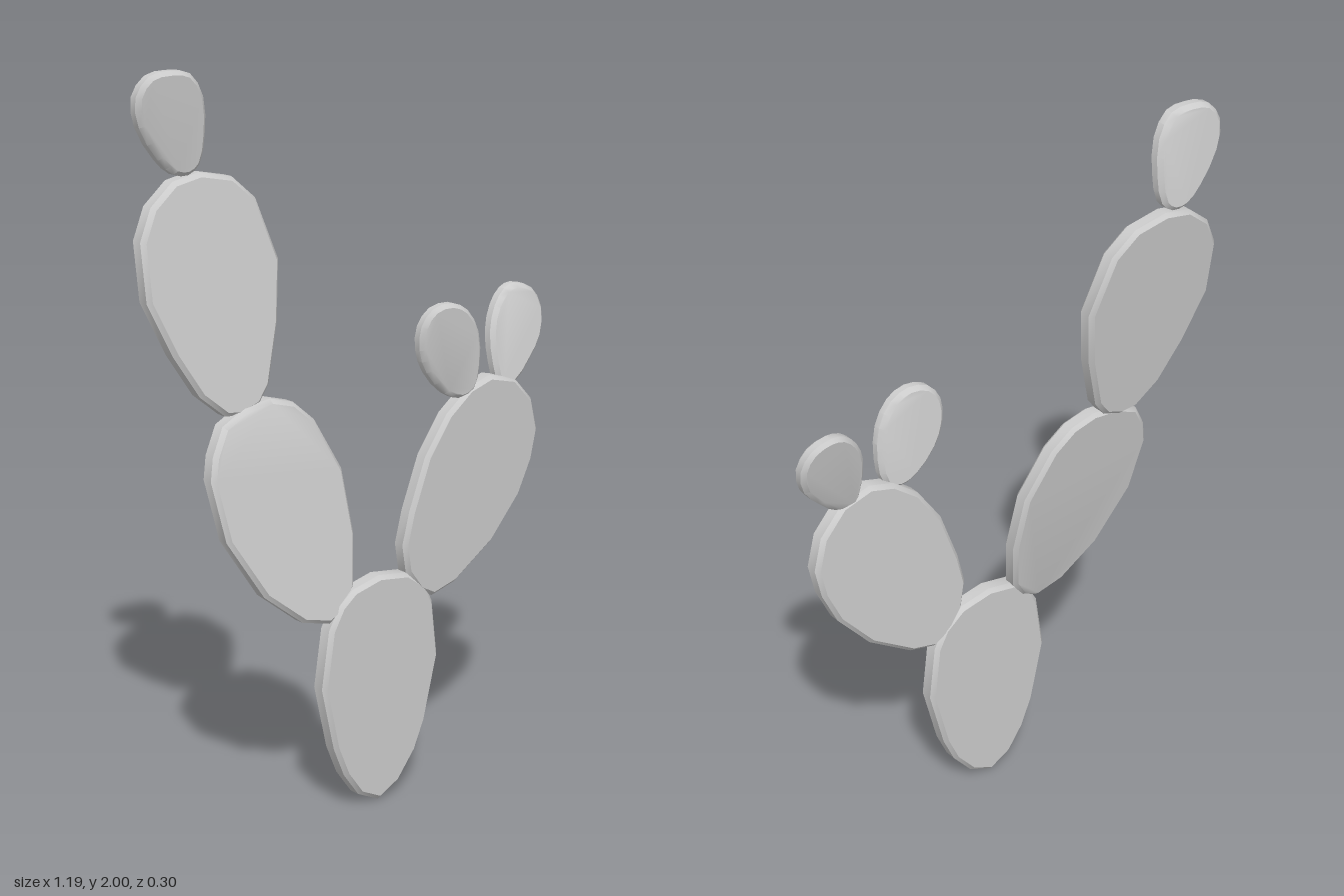
import * as THREE from 'three';
import { toCreasedNormals } from 'three/addons/utils/BufferGeometryUtils.js';

const material = new THREE.MeshStandardMaterial({ color: 0xcccccc });

// A flat pad: bevelled slab of the outline, laid on the plane
// z = z0 + leanX * (x - cx) + leanY * (y - cy). Small pads get a rounder outline.
function pad(name, outline, [cx, cy, z0], leanX, leanY, thickness, round = false) {
  let points = outline.map(([x, y]) => new THREE.Vector2(x, y));
  if (round) {
    const curve = new THREE.CatmullRomCurve3(points.map(p => new THREE.Vector3(p.x, p.y, 0)), true);
    points = curve.getPoints(outline.length * 2).slice(0, -1).map(p => new THREE.Vector2(p.x, p.y));
  }
  const bevel = 0.011;
  const geometry = new THREE.ExtrudeGeometry(new THREE.Shape(points), {
    depth: thickness - 2 * bevel, steps: 1,
    bevelEnabled: true, bevelThickness: bevel, bevelSize: bevel, bevelOffset: -bevel, bevelSegments: 1,
  });
  geometry.translate(0, 0, bevel - thickness / 2);
  const p = geometry.attributes.position;
  for (let i = 0; i < p.count; i++) {
    p.setZ(i, p.getZ(i) + z0 + leanX * (p.getX(i) - cx) + leanY * (p.getY(i) - cy));
  }
  const mesh = new THREE.Mesh(toCreasedNormals(geometry, 0.7), material);
  mesh.name = name;
  return mesh;
}

export function createModel() {
  const group = new THREE.Group();
  group.name = 'cactus';

  // Upright pad at the ground
  group.add(pad('basePad', [
    [0, 0.645], [-0.09, 0.625], [-0.135, 0.59], [-0.17, 0.53], [-0.195, 0.37], [-0.155, 0.19],
    [-0.12, 0.105], [-0.07, 0.035], [0, 0], [0.07, 0.035], [0.13, 0.11], [0.165, 0.19],
    [0.21, 0.37], [0.19, 0.53], [0.16, 0.585], [0.1, 0.63],
  ], [0, 0, 0.084], 0, 0, 0.054));

  // Tall arm on the right, leaning back
  group.add(pad('rightLowerPad', [
    [-0.27, 1.155], [-0.35, 1.145], [-0.425, 1.11], [-0.465, 1.04], [-0.48, 0.98], [-0.455, 0.82],
    [-0.36, 0.66], [-0.25, 0.57], [-0.165, 0.548], [-0.11, 0.575], [-0.075, 0.63], [-0.055, 0.77],
    [-0.07, 0.94], [-0.14, 1.08], [-0.2, 1.135],
  ], [-0.17, 0.55, 0.08], 0.03, -0.172, 0.052));

  group.add(pad('rightUpperPad', [
    [-0.41, 1.74], [-0.49, 1.725], [-0.56, 1.67], [-0.6, 1.59], [-0.6, 1.44], [-0.54, 1.3],
    [-0.475, 1.19], [-0.405, 1.13], [-0.355, 1.125], [-0.3, 1.145], [-0.265, 1.19], [-0.22, 1.345],
    [-0.198, 1.5], [-0.25, 1.66], [-0.315, 1.72],
  ], [-0.36, 1.125, -0.035], 0.05, -0.14, 0.052));

  group.add(pad('rightTipPad', [
    [-0.505, 2], [-0.56, 1.99], [-0.593, 1.94], [-0.58, 1.865], [-0.525, 1.78], [-0.48, 1.74],
    [-0.44, 1.735], [-0.41, 1.76], [-0.4, 1.835], [-0.41, 1.93], [-0.45, 1.99],
  ], [-0.45, 1.735, -0.124], 0.15, 0.12, 0.042, true));

  // Short arm on the left with two buds
  group.add(pad('leftPad', [
    [0.37, 1.133], [0.295, 1.11], [0.22, 1.05], [0.15, 0.945], [0.1, 0.8], [0.08, 0.71],
    [0.095, 0.63], [0.14, 0.57], [0.19, 0.543], [0.27, 0.565], [0.4, 0.655], [0.495, 0.77],
    [0.537, 0.865], [0.553, 0.95], [0.527, 1.04], [0.46, 1.11],
  ], [0.19, 0.543, 0.085], 0.015, 0.035, 0.052));

  group.add(pad('leftInnerBud', [
    [0.22, 1.355], [0.165, 1.345], [0.133, 1.3], [0.133, 1.235], [0.16, 1.17], [0.22, 1.105],
    [0.27, 1.085], [0.31, 1.105], [0.322, 1.175], [0.31, 1.265], [0.27, 1.33],
  ], [0.27, 1.085, 0.108], 0.18, 0.1, 0.04, true));

  group.add(pad('leftOuterBud', [
    [0.51, 1.355], [0.47, 1.345], [0.43, 1.305], [0.403, 1.24], [0.4, 1.155], [0.415, 1.095],
    [0.465, 1.095], [0.525, 1.145], [0.575, 1.205], [0.592, 1.28], [0.565, 1.335],
  ], [0.44, 1.09, 0.11], 0.05, -0.2, 0.042, true));

  return group;
}
